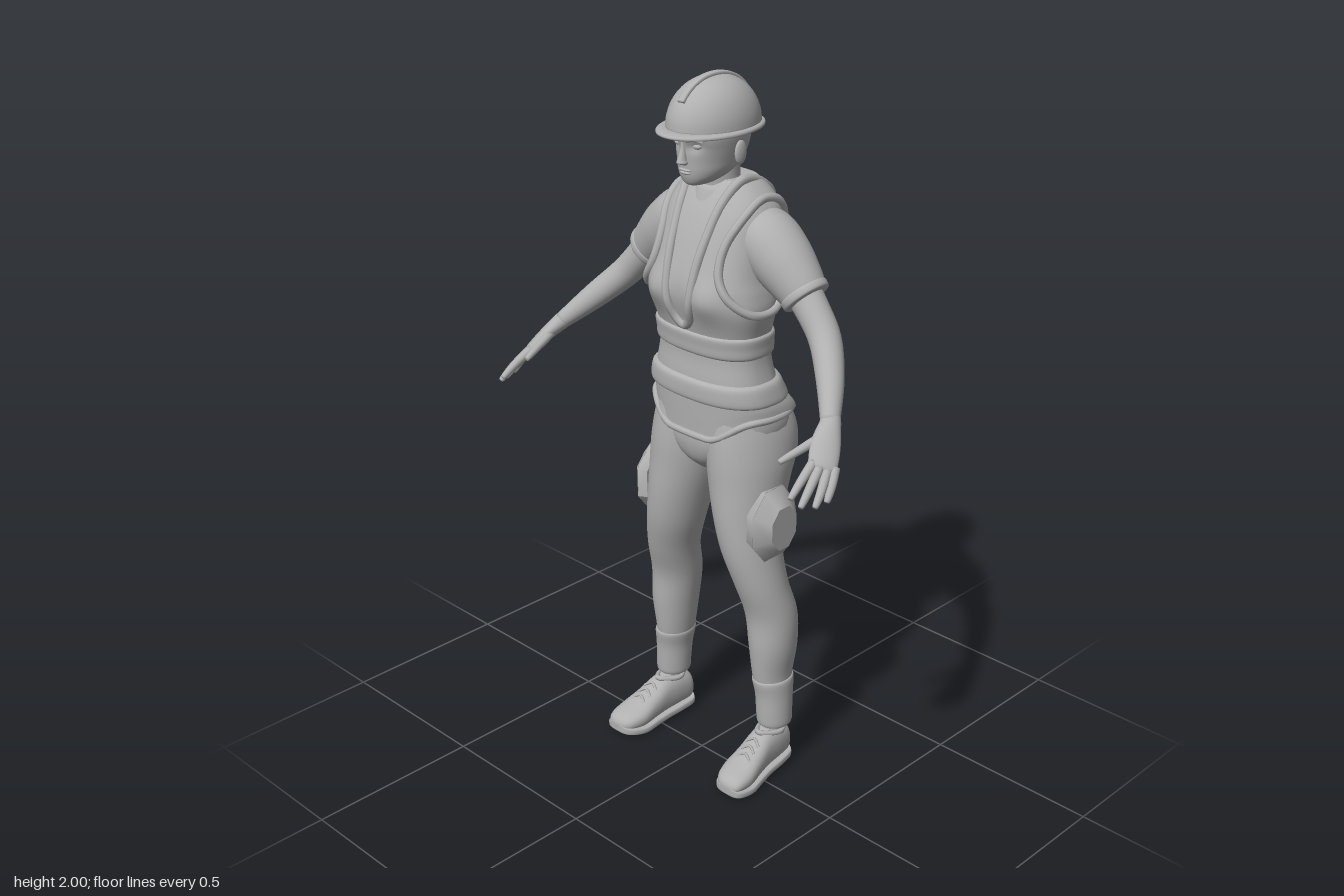
import * as THREE from 'three';

const V = (x, y, z) => new THREE.Vector3(x, y, z);
const X = V(1, 0, 0), Y = V(0, 1, 0), Z = V(0, 0, 1);
const grey = new THREE.MeshStandardMaterial({ color: 0xb0b0b0 });
grey.name = 'plain grey';

// Smooth interpolation through rows of numbers; t counts rows.
function sample(rows, t) {
  const n = rows.length - 1, i = Math.max(0, Math.min(n - 1, Math.floor(t))), f = t - i;
  const [a, b, c, d] = [-1, 0, 1, 2].map(k => rows[Math.max(0, Math.min(n, i + k))]);
  return b.map((_, k) => b[k] + 0.5 * f * (c[k] - a[k]
    + f * (2 * a[k] - 5 * b[k] + 4 * c[k] - d[k] + f * (3 * (b[k] - c[k]) + d[k] - a[k]))));
}

const bend = (v, p) => Math.sign(v) * Math.abs(v) ** p;

// Skin over rows of [x, y, z, ru, rv]. ru lies along ref; dir fixes the ring planes if given.
function sweep(rows, ref, { dir, seg = 28, sub = 5, p = 1 } = {}) {
  const pos = [], index = [], n = (rows.length - 1) * sub;
  const at = t => V(...sample(rows, Math.max(0, Math.min(rows.length - 1, t))).slice(0, 3));
  for (let i = 0; i <= n; i++) {
    const t = i / sub, s = sample(rows, t), c = V(s[0], s[1], s[2]);
    const tan = dir ? dir.clone() : at(t + 0.1).sub(at(t - 0.1)).normalize();
    const u = ref.clone().addScaledVector(tan, -ref.dot(tan)).normalize();
    const v = tan.clone().cross(u);
    for (let j = 0; j < seg; j++) {
      const a = j / seg * Math.PI * 2;
      const q = c.clone().addScaledVector(u, s[3] * bend(Math.cos(a), p)).addScaledVector(v, s[4] * bend(Math.sin(a), p));
      pos.push(q.x, q.y, q.z);
      if (i < n) {
        const k = i * seg + j, m = i * seg + (j + 1) % seg;
        index.push(k, m, m + seg, k, m + seg, k + seg);
      }
    }
  }
  const end = n * seg, c0 = pos.length / 3;
  pos.push(...rows[0].slice(0, 3), ...rows[rows.length - 1].slice(0, 3));
  for (let j = 0; j < seg; j++) {
    const m = (j + 1) % seg;
    index.push(c0, m, j, c0 + 1, end + j, end + m);
  }
  const g = new THREE.BufferGeometry();
  g.setAttribute('position', new THREE.Float32BufferAttribute(pos, 3));
  g.setIndex(index);
  g.computeVertexNormals();
  return g;
}

// Upright form from rows of [y, centreX, halfWidth, zFront, zBack].
const upright = rows => rows.map(([y, x, w, f, b]) => [x, y, (f + b) / 2, (f - b) / 2, w]);
const loft = (rows, opt) => sweep(upright(rows), Z, { dir: Y, ...opt });

function deform(g, fn) {
  const a = g.attributes.position, v = V();
  for (let i = 0; i < a.count; i++) {
    fn(v.fromBufferAttribute(a, i));
    a.setXYZ(i, v.x, v.y, v.z);
  }
  g.computeVertexNormals();
  return g;
}

const tube = (pts, r, closed = false, n = 60) =>
  new THREE.TubeGeometry(new THREE.CatmullRomCurve3(pts, closed), n, r, 8, closed);
const ball = (x, y, z, rx, ry, rz) => new THREE.SphereGeometry(1, 20, 14).scale(rx, ry, rz).translate(x, y, z);

// Torso outline shared by the vest, belts, hem and piping.
const torso = upright([
  [1.02, 0, .207, .054, -.24], [1.08, 0, .205, .056, -.225], [1.14, 0, .198, .058, -.192],
  [1.20, 0, .182, .058, -.165], [1.26, 0, .17, .053, -.154], [1.32, 0, .17, .058, -.154],
  [1.40, 0, .19, .08, -.16], [1.45, 0, .185, .086, -.172], [1.50, 0, .174, .08, -.185],
  [1.58, 0, .168, .054, -.203], [1.64, 0, .162, .028, -.2], [1.68, 0, .143, .005, -.188],
  [1.71, 0, .115, -.015, -.17], [1.73, 0, .09, -.035, -.15]]);
const P = 0.82;

function torsoAt(y) {
  let i = 0;
  while (i < torso.length - 2 && torso[i + 1][1] < y) i++;
  const s = sample(torso, i + (y - torso[i][1]) / (torso[i + 1][1] - torso[i][1]));
  s[1] = y;
  return s;
}
const bust = v => {
  if (v.z > -.02) v.z += .018 * Math.exp(-(((Math.abs(v.x) - .09) / .05) ** 2) - ((v.y - 1.435) / .05) ** 2);
};
function onTorso(angle, y, off = 0) {
  const s = torsoAt(y);
  const v = V((s[4] + off) * bend(Math.sin(angle), P), y, s[2] + (s[3] + off) * bend(Math.cos(angle), P));
  bust(v);
  return v;
}
const onFace = (x, y, side) => { // front or back of the torso at a given x
  const s = torsoAt(y), v = V(x, y, 0);
  v.z = s[2] + side * s[3] * (1 - Math.abs(x / s[4]) ** (2 / P)) ** (P / 2);
  bust(v);
  return v;
};
const band = (y0, y1, off) => sweep([0, .12, .5, .88, 1].map((k, i) => {
  const s = torsoAt(y0 + (y1 - y0) * k), o = [-.004, off * .8, off, off * .8, -.004][i];
  return [s[0], s[1], s[2], s[3] + o, s[4] + o];
}), Z, { dir: Y, seg: 40, p: P });

export function createModel() {
  const model = new THREE.Group();
  const add = (name, g) => {
    const m = new THREE.Mesh(g, grey);
    m.name = name;
    model.add(m);
  };
  const pair = (name, g) => {
    add('left ' + name, g);
    const r = g.clone().scale(-1, 1, 1), a = r.index.array;
    for (let i = 0; i < a.length; i += 3) [a[i], a[i + 1]] = [a[i + 1], a[i]];
    r.computeVertexNormals();
    add('right ' + name, r);
  };

  // Vest, with hem, belts and piping
  add('vest', deform(sweep(torso.slice(2), Z, { dir: Y, seg: 48, p: P }), bust));
  const hemY = x => 1.035 + .065 * THREE.MathUtils.smoothstep(Math.abs(x), .07, .2);
  add('vest skirt', deform(sweep([1.03, 1.06, 1.1, 1.15].map(torsoAt), Z, { dir: Y, seg: 48, p: P }),
    v => { v.y += (hemY(v.x) - 1.03) * (1.15 - v.y) / .12; }));
  const hem = [];
  for (let i = 0; i < 40; i++) {
    const a = i / 40 * Math.PI * 2;
    hem.push(onTorso(a, hemY(onTorso(a, 1.06).x)));
  }
  add('hem piping', tube(hem, .01, true, 120));
  add('upper belt', band(1.268, 1.336, .009));
  add('lower belt', band(1.136, 1.203, .012));
  const half = (side, low) => [[.07, 1.68], [.06, 1.61], [.05, 1.52], [.04, 1.42], [.025, low + .02], [0, low]]
    .map(([x, y]) => onFace(x, y, side));
  const flip = pts => pts.slice(0, -1).reverse().map(v => V(-v.x, v.y, v.z));
  const front = half(1, 1.35), back = half(-1, 1.375);
  add('neck piping', tube([V(.085, 1.733, -.06), ...front, ...flip(front), V(-.085, 1.733, -.06),
    ...flip(back).reverse(), ...back.slice().reverse()], .013, true, 160));
  const hole = [];
  for (let i = 0; i < 20; i++) {
    const a = i / 20 * Math.PI * 2;
    hole.push(onTorso(Math.PI / 2 + .95 * Math.cos(a), 1.545 + .145 * Math.sin(a), .003));
  }
  pair('armhole piping', tube(hole, .012, true, 80));

  // Sleeves and arms
  pair('sleeve', sweep([[.08, 1.62, -.09, .06, .05], [.14, 1.59, -.09, .085, .08], [.2, 1.54, -.09, .083, .083],
    [.25, 1.495, -.09, .071, .073], [.285, 1.46, -.09, .06, .062]], Z));
  pair('sleeve cuff', sweep([[.27, 1.475, -.09, .06, .06], [.276, 1.469, -.09, .066, .067],
    [.288, 1.457, -.09, .064, .065], [.291, 1.454, -.09, .05, .05]], Z));
  pair('arm', sweep([[.25, 1.495, -.09, .05, .052], [.31, 1.435, -.085, .045, .046], [.37, 1.37, -.07, .043, .042],
    [.44, 1.295, -.012, .036, .036], [.505, 1.22, .06, .025, .023]], Z));
  pair('palm', sweep([[.495, 1.231, .048, .026, .024], [.505, 1.22, .06, .028, .024], [.527, 1.185, .1, .038, .019],
    [.549, 1.147, .135, .037, .015], [.555, 1.138, .145, .026, .008]], V(.042, -.015, -.04)));
  const fingers = {
    'index finger': [[.53, 1.155, .148], [.538, 1.125, .2], [.543, 1.095, .243]],
    'middle finger': [[.547, 1.145, .145], [.56, 1.108, .195], [.567, 1.076, .232]],
    'ring finger': [[.561, 1.138, .132], [.577, 1.1, .17], [.585, 1.07, .2]],
    'little finger': [[.57, 1.14, .113], [.585, 1.105, .142], [.592, 1.075, .165]],
    'thumb': [[.507, 1.2, .085], [.493, 1.18, .145], [.477, 1.16, .208]],
  };
  for (const [name, [a, b, c]] of Object.entries(fingers)) {
    const tip = c.map((v, k) => v + (c[k] - b[k]) * .08);
    pair(name, sweep([[...a, .013, .013], [...b, .0115, .0115], [...c, .008, .008], [...tip, .001, .001]], X, { seg: 12 }));
  }

  // Trousers, with lower leg panels and padded thigh plates
  add('seat of trousers', loft([[.915, 0, .03, .0, -.1], [.95, 0, .1, .035, -.165], [1, 0, .175, .05, -.212],
    [1.06, 0, .198, .05, -.228], [1.12, 0, .19, .05, -.19]], { p: .9 }));
  pair('trouser leg', loft([[.15, .205, .044, -.04, -.136], [.22, .203, .047, -.036, -.142], [.3, .195, .051, -.024, -.152],
    [.4, .195, .065, -.014, -.163], [.5, .187, .073, -.01, -.162], [.6, .171, .074, .02, -.138],
    [.7, .147, .081, .045, -.137], [.8, .128, .089, .055, -.157], [.9, .114, .103, .055, -.195],
    [.97, .107, .108, .055, -.228], [1.04, .102, .1, .05, -.232], [1.1, .1, .08, .04, -.2]]));
  pair('lower leg panel', loft([[.14, .206, .04, -.045, -.13], [.148, .206, .048, -.036, -.14], [.18, .205, .05, -.033, -.142],
    [.24, .202, .051, -.03, -.147], [.288, .197, .054, -.022, -.154], [.295, .197, .045, -.03, -.145]]));
  const pad = new THREE.CylinderGeometry(.58, 1, 1, 8, 1).rotateY(Math.PI / 8).rotateZ(-Math.PI / 2);
  pair('thigh pad', pad.scale(.04, .115, .09).translate(.243, .8, -.05));
  const rim = new THREE.CylinderGeometry(1, .9, 1, 8, 1).rotateY(Math.PI / 8).rotateZ(-Math.PI / 2);
  pair('thigh pad rim', rim.scale(.03, .115, .09).translate(.209, .8, -.05));

  // Shoes
  pair('ankle', loft([[.08, .205, .034, -.04, -.125], [.12, .206, .033, -.045, -.12], [.17, .206, .034, -.048, -.125]]));
  const shoe = [[-.138, .198, .016, .09, .035], [-.126, .199, .036, .122, .024], [-.08, .203, .042, .137, .02],
    [-.03, .207, .043, .132, .016], [.02, .212, .048, .103, .012], [.07, .217, .054, .078, .008],
    [.11, .222, .047, .062, .012], [.13, .226, .032, .048, .016], [.137, .227, .008, .033, .022]];
  pair('shoe', sweep(shoe.map(([z, x, w, t, b]) => [x, (t + b) / 2, z, w, (t - b) / 2]), X, { dir: Z, p: .85 }));
  pair('shoe sole', sweep(shoe.map(([z, x, w, t, b]) => [x, b + .002, z, w + .006, .013]), X, { dir: Z, p: .45 }));
  pair('shoe opening', tube([V(.172, .125, -.08), V(.205, .138, -.125), V(.239, .125, -.08), V(.206, .132, -.02)], .008, true, 32));
  for (let i = 0; i < 3; i++) {
    const z = .0 + i * .022, y = .117 - i * .013, x = .21 + i * .003;
    pair('shoelace ' + (i + 1), tube([V(x - .025, y - .01, z + .008), V(x, y + .004, z), V(x + .025, y - .01, z + .008)], .004, false, 12));
  }

  // Neck, shirt collar and head
  add('neck', loft([[1.64, 0, .056, -.01, -.14], [1.7, 0, .054, -.015, -.128], [1.74, 0, .052, -.012, -.12], [1.79, 0, .054, -.01, -.125]]));
  add('shirt collar', loft([[1.64, 0, .09, .02, -.16], [1.69, 0, .072, .003, -.142], [1.71, 0, .064, -.007, -.134], [1.714, 0, .05, -.02, -.12]]));
  add('head', deform(loft([[1.724, 0, .016, .044, .005], [1.73, 0, .034, .053, -.035], [1.745, 0, .052, .06, -.075],
    [1.765, 0, .064, .064, -.112], [1.79, 0, .07, .066, -.135], [1.82, 0, .076, .069, -.148],
    [1.85, 0, .08, .075, -.152], [1.89, 0, .08, .07, -.15]], { seg: 40, p: .93 }), v => {
    // Shallow eye sockets
    if (v.z > 0) v.z -= .01 * Math.exp(-(((Math.abs(v.x) - .032) / .016) ** 2) - ((v.y - 1.832) / .014) ** 2);
  }));
  add('nose', sweep([[0, 1.782, .066, .006, .01], [0, 1.788, .071, .016, .0145], [0, 1.798, .071, .014, .011],
    [0, 1.825, .068, .008, .007], [0, 1.85, .07, .004, .006]], Z, { dir: Y, seg: 16 }));
  add('upper lip', ball(0, 1.768, .062, .022, .004, .007));
  add('lower lip', ball(0, 1.76, .061, .018, .005, .007));
  pair('eye', ball(.032, 1.832, .05, .014, .008, .01));
  pair('eyebrow', tube([V(.015, 1.846, .073), V(.033, 1.851, .068), V(.052, 1.845, .053)], .004, false, 12));
  pair('ear', ball(.08, 1.805, -.058, .009, .032, .02).rotateX(0));

  // Safety helmet with ridge and peak
  const dome = [];
  for (let i = 0; i <= 8; i++) {
    const a = i / 8 * Math.PI / 2, c = Math.max(.002, Math.cos(a) ** .92);
    dome.push([0, 1.868 + .126 * Math.sin(a), -.042, .14 * c, .106 * c]);
  }
  add('helmet dome', sweep(dome, Z, { dir: Y, seg: 40, sub: 3 }));
  add('helmet brim', sweep([[0, 1.859, -.032, .154, .11], [0, 1.861, -.032, .161, .116], [0, 1.868, -.032, .16, .115],
    [0, 1.872, -.036, .144, .108]], Z, { dir: Y, seg: 48, sub: 3 }));
  const ridge = [];
  for (let i = 0; i <= 10; i++) {
    const a = .62 + i / 10 * (Math.PI - .9);
    ridge.push([0, 1.868 + .128 * Math.sin(a), -.042 + .141 * bend(Math.cos(a), .92), .011, .006]);
  }
  add('helmet ridge', sweep(ridge, X, { seg: 12, p: .5 }));

  return model;
}
